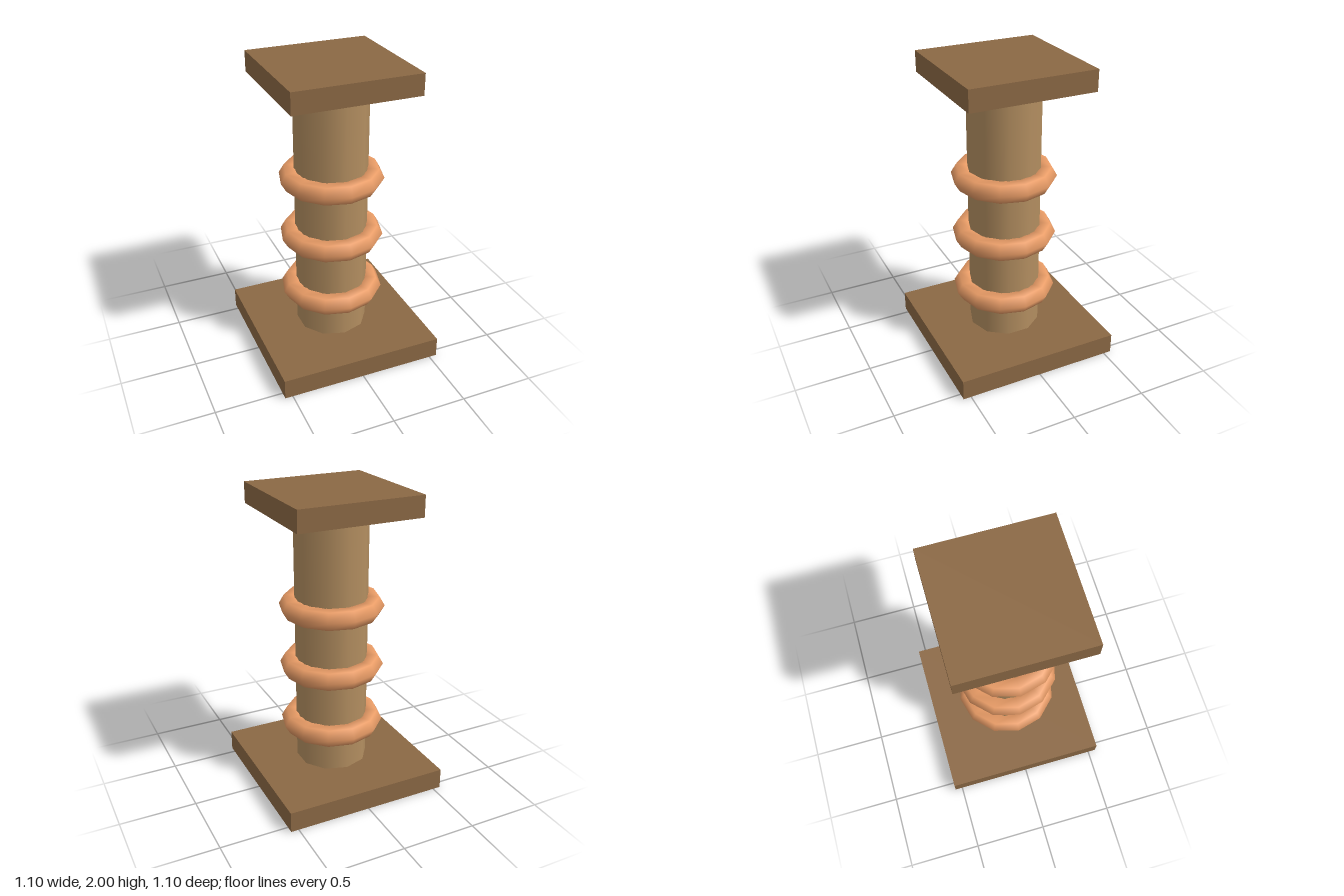
import * as THREE from 'three';

const U = 2 / 14.5; // one design unit: the post is 14.5 units tall

export function createModel() {
  const group = new THREE.Group();
  group.name = 'ringedPost';

  const plateWood = new THREE.MeshStandardMaterial({ color: 0x8b6844 });
  const postWood = new THREE.MeshStandardMaterial({ color: 0xb38e60 });
  const ringColor = new THREE.MeshStandardMaterial({ color: 0xe99c66 });

  const add = (name, geometry, material, y) => {
    const mesh = new THREE.Mesh(geometry, material);
    mesh.name = name;
    mesh.position.y = y * U;
    group.add(mesh);
  };

  // Square plates at the foot and the top
  add('basePlate', new THREE.BoxGeometry(8 * U, U, 8 * U), plateWood, 0.5);
  add('topPlate', new THREE.BoxGeometry(6 * U, U, 6 * U), plateWood, 14);

  // Ten-sided post between the plates
  add('post', new THREE.CylinderGeometry(1.75 * U, 1.75 * U, 12.5 * U, 10), postWood, 7.25);

  // Three evenly spaced rings around the post
  const ring = new THREE.TorusGeometry(2 * U, 0.5 * U, 6, 12).rotateX(Math.PI / 2);
  [3, 6, 9].forEach((y, i) => add(`ring${i + 1}`, ring, ringColor, y));

  return group;
}
